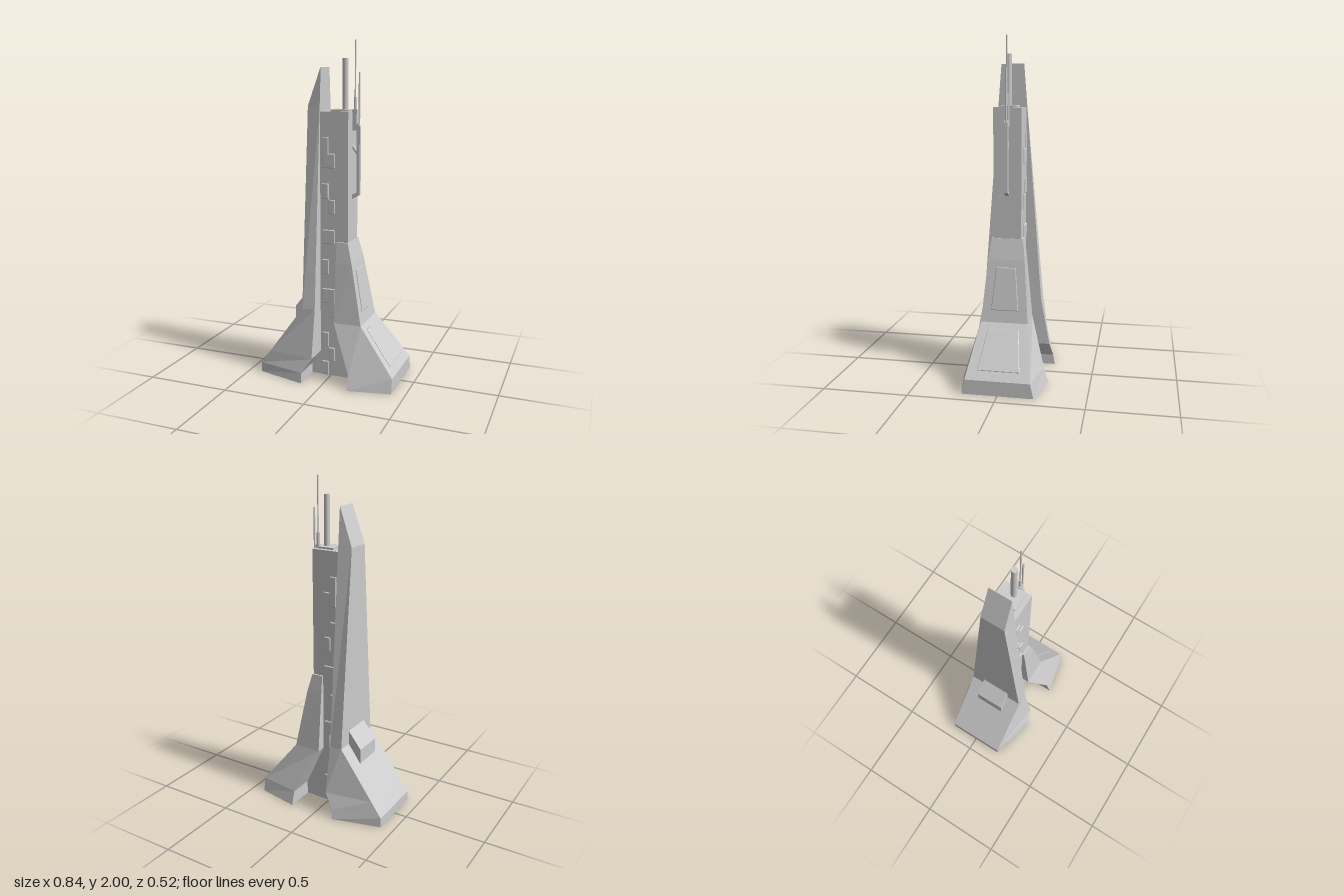
import * as THREE from 'three';

const mat = new THREE.MeshStandardMaterial({ color: 0xcccccc, flatShading: true });
const smooth = new THREE.MeshStandardMaterial({ color: 0xcccccc });

function add(parent, name, geometry, x = 0, y = 0, z = 0, material = mat) {
  const mesh = new THREE.Mesh(geometry, material);
  mesh.name = name;
  mesh.position.set(x, y, z);
  parent.add(mesh);
  return mesh;
}

// box given by its x and y ranges and half depth
function block(parent, name, x0, x1, y0, y1, hz) {
  return add(parent, name, new THREE.BoxGeometry(x1 - x0, y1 - y0, hz * 2), (x0 + x1) / 2, (y0 + y1) / 2);
}

// vertical rod standing on y0
function rod(parent, name, x, y0, y1, r, sides = 12) {
  return add(parent, name, new THREE.CylinderGeometry(r, r, y1 - y0, sides), x, (y0 + y1) / 2, 0, smooth);
}

// loft of four-cornered sections: [y, inner x, outer x, inner half depth, outer half depth]
function loft(rows) {
  const rings = rows.map(([y, xi, xo, zi, zo]) => {
    const ring = [[xo, y, zo], [xo, y, -zo], [xi, y, -zi], [xi, y, zi]];
    return xo < xi ? ring.reverse() : ring;
  });
  const pos = [];
  const quad = (a, b, c, d) => pos.push(...a, ...b, ...c, ...a, ...c, ...d);
  for (let r = 0; r < rings.length - 1; r++) {
    for (let i = 0; i < 4; i++) {
      const j = (i + 1) % 4;
      quad(rings[r][i], rings[r][j], rings[r + 1][j], rings[r + 1][i]);
    }
  }
  const top = rings[rings.length - 1], bottom = rings[0];
  quad(top[0], top[1], top[2], top[3]);
  quad(bottom[3], bottom[2], bottom[1], bottom[0]);
  const geometry = new THREE.BufferGeometry();
  geometry.setAttribute('position', new THREE.Float32BufferAttribute(pos, 3));
  geometry.computeVertexNormals();
  return geometry;
}

const polygon = (points) => new THREE.Shape(points.map(([x, y]) => new THREE.Vector2(x, y)));

// thin trapezoid lying on a slope that runs from (x0, y0) up to (x1, y1)
function slopePanel(parent, name, [x0, y0], [x1, y1], bottomHalf, topHalf) {
  const dir = new THREE.Vector3(x1 - x0, y1 - y0, 0);
  const length = dir.length();
  dir.normalize();
  const shape = polygon([[-bottomHalf, 0], [bottomHalf, 0], [topHalf, length], [-topHalf, length]]);
  const geometry = new THREE.ExtrudeGeometry(shape, {
    depth: 0.003, bevelEnabled: true, bevelThickness: 0.002, bevelSize: 0.003, bevelOffset: -0.003, bevelSegments: 1,
  });
  const across = new THREE.Vector3(0, 0, -1);
  const normal = new THREE.Vector3().crossVectors(across, dir);
  geometry.applyMatrix4(new THREE.Matrix4().makeBasis(across, dir, normal));
  return add(parent, name, geometry, x0, y0, 0);
}

export function createModel() {
  const model = new THREE.Group();
  model.name = 'tower';

  // central shaft, its wider foot and roof
  block(model, 'shaft', -0.07, 0.107, 0, 1.6, 0.082);
  block(model, 'shaftFoot', -0.14, 0.18, 0.001, 0.3, 0.08);
  block(model, 'roofPlate', -0.012, 0.098, 1.6, 1.61, 0.053);
  rod(model, 'chimney', 0.06, 1.6, 1.9, 0.017, 24);

  // tall flared fin
  const fin = new THREE.Group();
  fin.name = 'tallFin';
  model.add(fin);
  add(fin, 'finBody', loft([
    [0, -0.125, -0.42, 0.258, 0.18],
    [0.06, -0.125, -0.42, 0.247, 0.18],
    [0.15, -0.066, -0.355, 0.23, 0.18],
    [0.44, -0.066, -0.145, 0.176, 0.178],
    [1.63, -0.066, -0.145, 0.085, 0.072],
    [1.85, -0.066, -0.067, 0.068, 0.068],
  ]));
  // sloped housing on the outside of the fin
  const housing = new THREE.ExtrudeGeometry(
    polygon([[-0.13, 0.33], [-0.13, 0.53], [-0.145, 0.525], [-0.227, 0.42], [-0.227, 0.33]].reverse()),
    { depth: 0.18, bevelEnabled: false });
  add(fin, 'finHousing', housing, 0, 0, -0.09);

  // short buttress with raised panels
  const buttress = new THREE.Group();
  buttress.name = 'buttress';
  model.add(buttress);
  add(buttress, 'buttressBody', loft([
    [0, 0.165, 0.42, 0.256, 0.206],
    [0.085, 0.165, 0.42, 0.23, 0.188],
    [0.36, 0.04, 0.208, 0.14, 0.138],
    [0.72, 0.04, 0.14, 0.106, 0.108],
    [0.84, 0.04, 0.11, 0.093, 0.093],
  ]));
  slopePanel(buttress, 'lowerPanel', [0.385, 0.13], [0.232, 0.328], 0.122, 0.09);
  slopePanel(buttress, 'upperPanel', [0.195, 0.43], [0.149, 0.675], 0.08, 0.058);

  // raised tiles, passing through the shaft to show on front and back
  const L = -0.053, M = -0.012, R = 0.028;
  const rect = (x0, x1, y0, y1) => [[x0, y0], [x1, y0], [x1, y1], [x0, y1]];
  const tiles = [
    [[L, 1.275], [R, 1.275], [R, 1.36], [M, 1.36], [M, 1.455], [L, 1.455]],
    rect(L, M, 1.095, 1.185),
    rect(M, R, 1.005, 1.09),
    rect(L, R, 0.825, 0.91),
    rect(L, M, 0.64, 0.73),
    [[L, 0.46], [M, 0.46], [M, 0.37], [R, 0.37], [R, 0.55], [L, 0.55]],
    rect(L, M, 0.185, 0.275),
    rect(M, R, 0.095, 0.18),
    rect(L, M, 0.003, 0.09),
  ];
  for (const points of tiles) {
    const geometry = new THREE.ExtrudeGeometry(polygon(points), {
      depth: 0.17, bevelEnabled: true, bevelThickness: 0.004, bevelSize: 0.004, bevelOffset: -0.004, bevelSegments: 1,
    });
    add(model, 'wallTile', geometry, 0, 0, -0.085);
  }

  // antennas and the bracket beside the shaft
  const aerials = new THREE.Group();
  aerials.name = 'antennas';
  model.add(aerials);
  block(aerials, 'tallAntennaMount', 0.105, 0.133, 1.49, 1.61, 0.012);
  rod(aerials, 'tallAntennaSocket', 0.12, 1.6, 1.68, 0.009);
  rod(aerials, 'tallAntenna', 0.12, 1.66, 2, 0.004);
  rod(aerials, 'shortAntenna', 0.145, 1.5, 1.82, 0.005);
  const bracket = new THREE.ExtrudeGeometry(polygon([
    [0.105, 1.09], [0.152, 1.115], [0.152, 1.515], [0.143, 1.53], [0.133, 1.53], [0.133, 1.37],
    [0.105, 1.41], [0.105, 1.39], [0.133, 1.35], [0.133, 1.13], [0.105, 1.115],
  ]), { depth: 0.022, bevelEnabled: false });
  add(aerials, 'antennaBracket', bracket, 0, 0, -0.011);

  return model;
}
